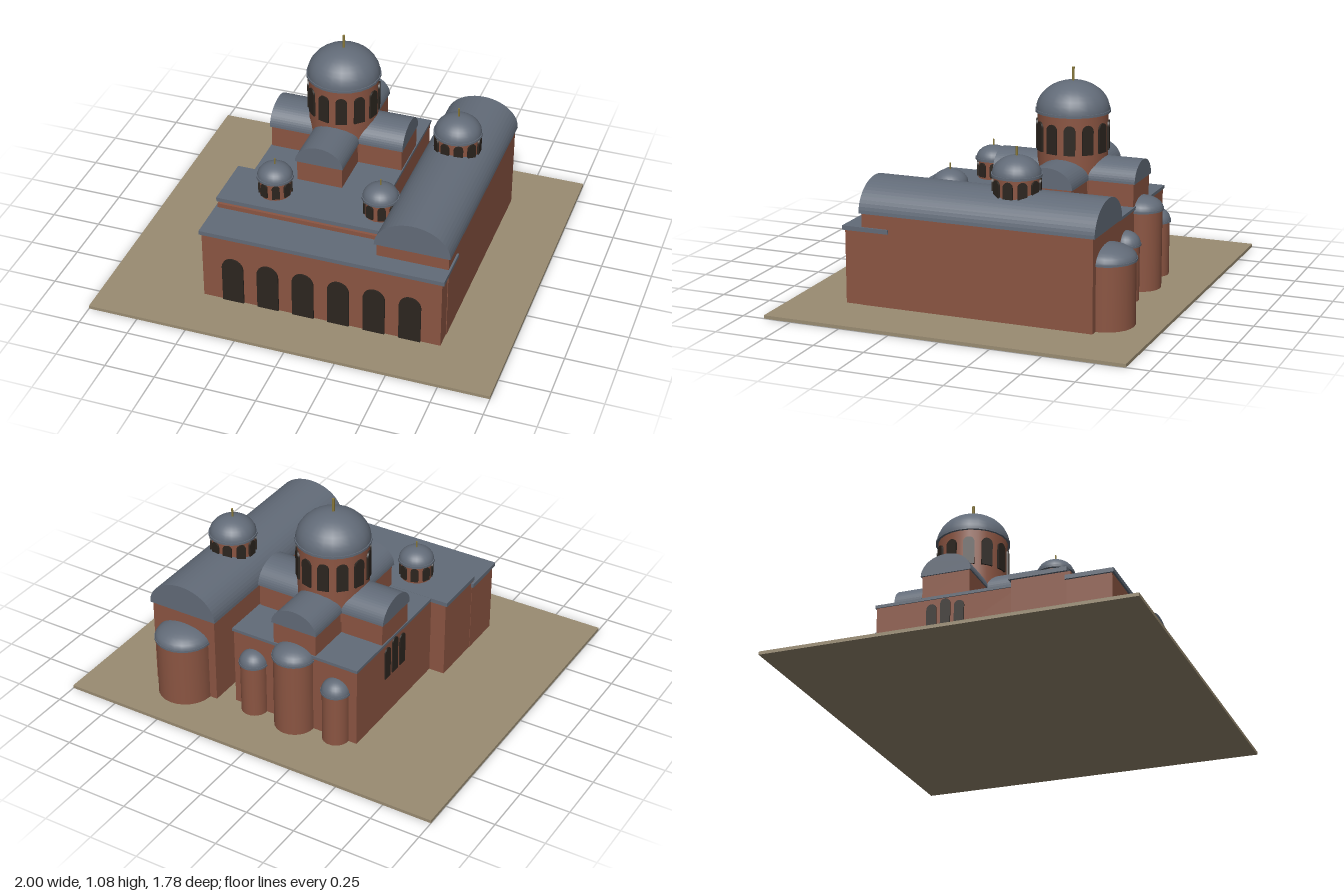
import * as THREE from 'three';

const mat = (color, flatShading = false) => new THREE.MeshStandardMaterial({ color, flatShading });
const brick = mat(0x8b5542), roof = mat(0x626b78), facetedRoof = mat(0x626b78, true);
const stone = mat(0x9a8c72), dark = mat(0x2c251f), gold = mat(0x8a7a3c);

function add(parent, name, geometry, material, x = 0, y = 0, z = 0) {
  const mesh = new THREE.Mesh(geometry, material);
  mesh.name = name;
  mesh.position.set(x, y, z);
  parent.add(mesh);
  return mesh;
}

// Box given by its limits on each axis
function block(parent, name, material, [x0, x1], [y0, y1], [z0, z1]) {
  return add(parent, name, new THREE.BoxGeometry(x1 - x0, y1 - y0, z1 - z0), material,
    (x0 + x1) / 2, (y0 + y1) / 2, (z0 + z1) / 2);
}

// Round-headed panel standing on y = 0, facing +z
function archPanel(width, height, depth) {
  const r = width / 2;
  const s = new THREE.Shape();
  s.moveTo(-r, 0);
  s.lineTo(r, 0);
  s.lineTo(r, height - r);
  s.absarc(0, height - r, r, 0, Math.PI, false);
  s.closePath();
  return new THREE.ExtrudeGeometry(s, { depth, bevelEnabled: false, curveSegments: 10 });
}

// Half-elliptical vault running along +z from its origin
function vault(halfWidth, height, length) {
  const s = new THREE.Shape();
  s.moveTo(halfWidth, 0);
  s.absellipse(0, 0, halfWidth, height, 0, Math.PI, false, 0);
  s.closePath();
  return new THREE.ExtrudeGeometry(s, { depth: length, bevelEnabled: false, curveSegments: 14 });
}

// Windowed drum with eave, dome and finial
function domedDrum(parent, name, o) {
  const g = new THREE.Group();
  g.name = name;
  g.position.set(o.x, 0, o.z);
  parent.add(g);
  const h = o.spring - o.base;
  add(g, 'drum', new THREE.CylinderGeometry(o.r, o.r, h, o.windows * 2), brick, 0, o.base + h / 2);
  for (let i = 0; i < o.windows; i++) {
    const a = (i + 0.5) * 2 * Math.PI / o.windows, d = o.r - 0.004;
    const w = add(g, 'drumWindow', archPanel(o.winWidth, o.winTop - o.winBottom, 0.01), dark,
      Math.sin(a) * d, o.winBottom, Math.cos(a) * d);
    w.rotation.y = a;
  }
  add(g, 'eave', new THREE.CylinderGeometry(o.domeR + 0.004, o.domeR + 0.004, 0.012, 24), roof, 0, o.spring);
  const dome = add(g, 'dome', new THREE.SphereGeometry(o.domeR, 24, 10, 0, Math.PI * 2, 0, Math.PI / 2), roof, 0, o.spring);
  dome.scale.y = (o.top - o.spring) / o.domeR;
  const f = o.tip - o.top + 0.01;
  add(g, 'finial', new THREE.CylinderGeometry(o.pole, o.pole, f, 8), gold, 0, o.tip - f / 2);
}

// Rounded apse with half dome, set halfway into the east wall
function apse(parent, name, x, z, r, wallTop, top) {
  const g = new THREE.Group();
  g.name = name;
  g.position.set(x, 0, z);
  parent.add(g);
  add(g, 'apseWall', new THREE.CylinderGeometry(r, r, wallTop - 0.01, 24), brick, 0, (wallTop + 0.01) / 2);
  add(g, 'apseEave', new THREE.CylinderGeometry(r + 0.007, r + 0.007, 0.01, 24), roof, 0, wallTop);
  const d = add(g, 'apseRoof', new THREE.SphereGeometry(r + 0.005, 24, 8, 0, Math.PI * 2, 0, Math.PI / 2), roof, 0, wallTop);
  d.scale.y = (top - wallTop) / (r + 0.005);
}

export function createModel() {
  const model = new THREE.Group();
  model.name = 'domedChurch';
  const cx = -0.0925, cz = -0.228;

  block(model, 'ground', stone, [-1, 1], [0, 0.016], [-0.89, 0.89]);

  // Main church: corner bays, cross arms and vaults
  block(model, 'naveWalls', brick, [-0.43, 0.248], [0.01, 0.425], [-0.58, 0.15]);
  block(model, 'naveRoof', roof, [-0.435, 0.253], [0.425, 0.44], [-0.587, 0.15]);
  block(model, 'longArm', brick, [cx - 0.115, cx + 0.115], [0.43, 0.555], [-0.58, 0.13]);
  block(model, 'crossArm', brick, [-0.43, 0.248], [0.43, 0.555], [cz - 0.12, cz + 0.12]);
  add(model, 'longVault', vault(0.122, 0.097, 0.73), facetedRoof, cx, 0.553, -0.588);
  const cross = add(model, 'crossVault', vault(0.127, 0.1, 0.69), facetedRoof, -0.437, 0.553, cz);
  cross.rotation.y = Math.PI / 2;
  for (const i of [-1, 0, 1]) {
    const w = add(model, 'sideWindow', archPanel(0.05, i ? 0.17 : 0.19, 0.01), dark, -0.426, 0.23, cz + i * 0.07);
    w.rotation.y = -Math.PI / 2;
  }
  domedDrum(model, 'mainDome', {
    x: cx, z: cz, r: 0.172, base: 0.5, spring: 0.865, domeR: 0.18, top: 1.01, tip: 1.075,
    windows: 12, winWidth: 0.056, winBottom: 0.675, winTop: 0.82, pole: 0.007
  });

  // Apses of the main church
  apse(model, 'mainApse', cx, -0.585, 0.1, 0.41, 0.472);
  for (const x of [-0.32, 0.135]) apse(model, 'sideApse', x, -0.585, 0.066, 0.29, 0.355);

  // Inner porch with its two small domes
  block(model, 'innerPorch', brick, [-0.51, 0.34], [0.01, 0.42], [0.13, 0.42]);
  block(model, 'innerPorchRoof', roof, [-0.522, 0.34], [0.42, 0.441], [0.12, 0.405]);
  for (const x of [-0.27, 0.264]) {
    domedDrum(model, 'porchDome', {
      x, z: 0.265, r: 0.077, base: 0.43, spring: 0.54, domeR: 0.087, top: 0.605, tip: 0.636,
      windows: 8, winWidth: 0.038, winBottom: 0.452, winTop: 0.525, pole: 0.004
    });
  }

  // Outer porch with arcade
  block(model, 'outerPorch', brick, [-0.512, 0.682], [0.01, 0.378], [0.4, 0.62]);
  block(model, 'outerPorchRoof', roof, [-0.522, 0.694], [0.377, 0.398], [0.395, 0.63]);
  for (let i = 0; i < 6; i++) {
    add(model, 'porchArch', archPanel(0.108, 0.25, 0.012), dark, -0.357 + i * 0.1775, 0.014, 0.616);
  }

  // Side chapel
  block(model, 'chapelWalls', brick, [0.333, 0.685], [0.01, 0.468], [-0.62, 0.532]);
  add(model, 'chapelVault', vault(0.186, 0.145, 1.172), facetedRoof, 0.509, 0.465, -0.63);
  apse(model, 'chapelApse', 0.509, -0.622, 0.137, 0.33, 0.4);
  domedDrum(model, 'chapelDome', {
    x: 0.509, z: -0.18, r: 0.108, base: 0.55, spring: 0.68, domeR: 0.116, top: 0.77, tip: 0.812,
    windows: 10, winWidth: 0.046, winBottom: 0.585, winTop: 0.665, pole: 0.005
  });

  return model;
}
